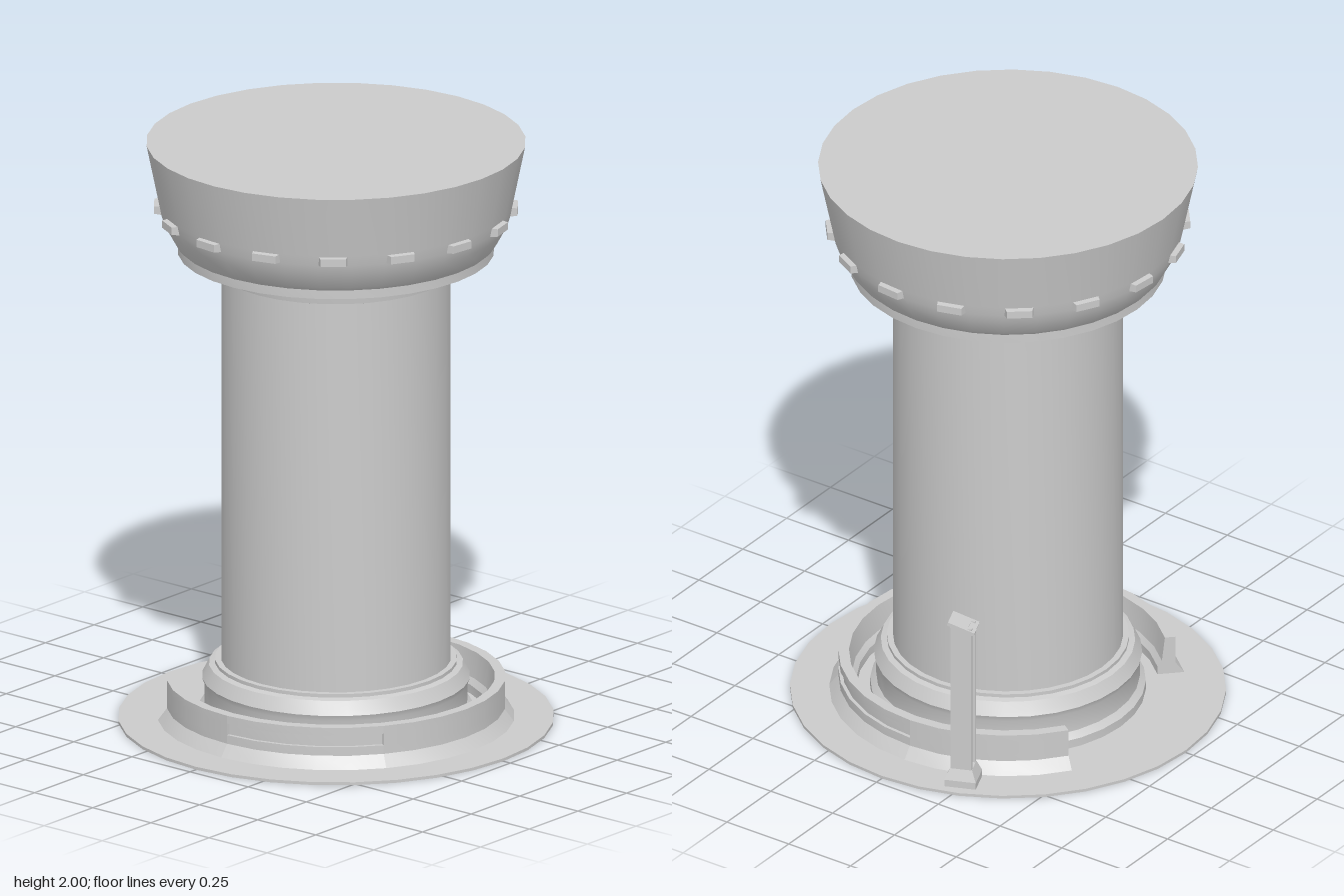
import * as THREE from 'three';
import { toCreasedNormals } from 'three/addons/utils/BufferGeometryUtils.js';

const SIDES = 32;
const STEP = (Math.PI * 2) / SIDES;
const grey = new THREE.MeshStandardMaterial({ color: 0xcccccc });
const greyDouble = new THREE.MeshStandardMaterial({ color: 0xcccccc, side: THREE.DoubleSide });

const points = (list) => list.map(([x, y]) => new THREE.Vector2(x, y));

function add(parent, name, geometry, material = grey) {
  const mesh = new THREE.Mesh(geometry, material);
  mesh.name = name;
  parent.add(mesh);
  return mesh;
}

// Turned part; start and count are in steps of one side
function turned(profile, start = 0, count = SIDES) {
  const g = new THREE.LatheGeometry(points(profile), count, start * STEP, count * STEP);
  return toCreasedNormals(g, 0.45);
}

// Kerb section, closed and counter-clockwise; the groove is cut in its outer face
function kerbProfile(groove) {
  const r = 0.56;
  return [
    [0.5, 0.01], [0.59, 0.01], [r, 0.05], [r, 0.08], [r - groove, 0.08],
    [r - groove, 0.12], [r, 0.12], [r, 0.147], [0.525, 0.147], [0.515, 0.06], [0.5, 0.04], [0.5, 0.01],
  ];
}

function createKerb() {
  const kerb = new THREE.Group();
  kerb.name = 'openKerb';
  // [start, end, groove depth], leaving a gap at the back
  const runs = [[-12, -8, 0], [-8, -3, 0.012], [-3, 3, 0], [3, 8, 0.012], [8, 13, 0]];
  for (const [from, to, groove] of runs) {
    add(kerb, 'kerbRun', turned(kerbProfile(groove), from, to - from));
  }
  // Flat closing faces at every joint
  for (const at of [-12, -8, -3, 3, 8, 13]) {
    const cap = add(kerb, 'kerbEnd', new THREE.ShapeGeometry(new THREE.Shape(points(kerbProfile(0)))), greyDouble);
    cap.rotation.y = at * STEP - Math.PI / 2;
  }
  return kerb;
}

// Raised lug: a block that tapers toward its outer face
function lugGeometry() {
  const g = new THREE.BoxGeometry(0.05, 0.034, 0.108);
  const p = g.attributes.position;
  for (let i = 0; i < p.count; i++) {
    if (p.getX(i) > 0) p.setXYZ(i, p.getX(i), p.getY(i) * 0.75, p.getZ(i) * 0.78);
  }
  g.computeVertexNormals();
  return g;
}

function createPost() {
  const post = new THREE.Group();
  post.name = 'post';
  // Flared square foot
  const block = add(post, 'postFootBlock', new THREE.BoxGeometry(0.092, 0.025, 0.105));
  block.position.y = 0.0225;
  const flare = new THREE.CylinderGeometry(0.5, 0.72, 0.04, 4, 1);
  flare.rotateY(Math.PI / 4);
  flare.scale(0.092, 1, 0.104);
  add(post, 'postFootFlare', toCreasedNormals(flare, 0.3)).position.y = 0.055;
  // Channel-shaped shaft, open on one side
  const section = new THREE.Shape(points([
    [-0.033, -0.036], [-0.02, -0.036], [-0.02, -0.022], [0.02, -0.022],
    [0.02, -0.036], [0.033, -0.036], [0.033, 0.036], [-0.033, 0.036],
  ]));
  const shaft = new THREE.ExtrudeGeometry(section, { depth: 0.555, bevelEnabled: false });
  shaft.rotateX(-Math.PI / 2);
  shaft.scale(1, 1, -1);
  // Restore the winding after mirroring
  const p = shaft.attributes.position;
  for (let i = 0; i < p.count; i += 3) {
    const a = new THREE.Vector3().fromBufferAttribute(p, i + 1);
    const b = new THREE.Vector3().fromBufferAttribute(p, i + 2);
    p.setXYZ(i + 1, b.x, b.y, b.z);
    p.setXYZ(i + 2, a.x, a.y, a.z);
  }
  shaft.computeVertexNormals();
  add(post, 'postShaft', shaft).position.y = 0.055;
  // Sloping cap
  const cap = add(post, 'postCap', new THREE.BoxGeometry(0.08, 0.012, 0.095));
  cap.position.y = 0.61;
  cap.rotation.x = -0.33;
  post.position.set(0.593, 0, -0.24);
  post.rotation.y = 0.39;
  return post;
}

export function createModel() {
  const model = new THREE.Group();
  model.name = 'column';

  const disc = add(model, 'groundDisc', new THREE.CylinderGeometry(0.72, 0.72, 0.01, SIDES));
  disc.position.y = 0.005;

  // Stepped plinth
  add(model, 'plinth', turned([
    [0.455, 0.01], [0.455, 0.04], [0.435, 0.06], [0.435, 0.13], [0.443, 0.15], [0.435, 0.165],
    [0.42, 0.195], [0.4, 0.2], [0.4, 0.212], [0.38, 0.212],
  ]));
  model.add(createKerb());

  add(model, 'shaft', turned([[0.38, 0.2], [0.38, 1.56]]));
  add(model, 'collar', turned([
    [0.38, 1.558], [0.392, 1.562], [0.397, 1.6], [0.386, 1.625], [0.386, 1.66],
  ]));

  // Flaring head with a recessed underside and a flat top
  add(model, 'head', turned([
    [0.38, 1.655], [0.47, 1.655], [0.47, 1.622], [0.523, 1.622], [0.523, 1.652], [0.535, 1.665],
    [0.565, 1.72], [0.577, 1.755], [0.584, 1.79], [0.627, 2], [0, 2],
  ]));

  // Ring of lugs around the head
  const lugs = new THREE.Group();
  lugs.name = 'lugs';
  for (let i = 0; i < 16; i++) {
    const a = THREE.MathUtils.degToRad(6 + i * 22.5);
    const lug = add(lugs, 'lug', lugGeometry());
    lug.position.set(0.575 * Math.cos(a), 1.772, 0.575 * Math.sin(a));
    lug.rotation.y = -a;
  }
  model.add(lugs);

  model.add(createPost());
  return model;
}
